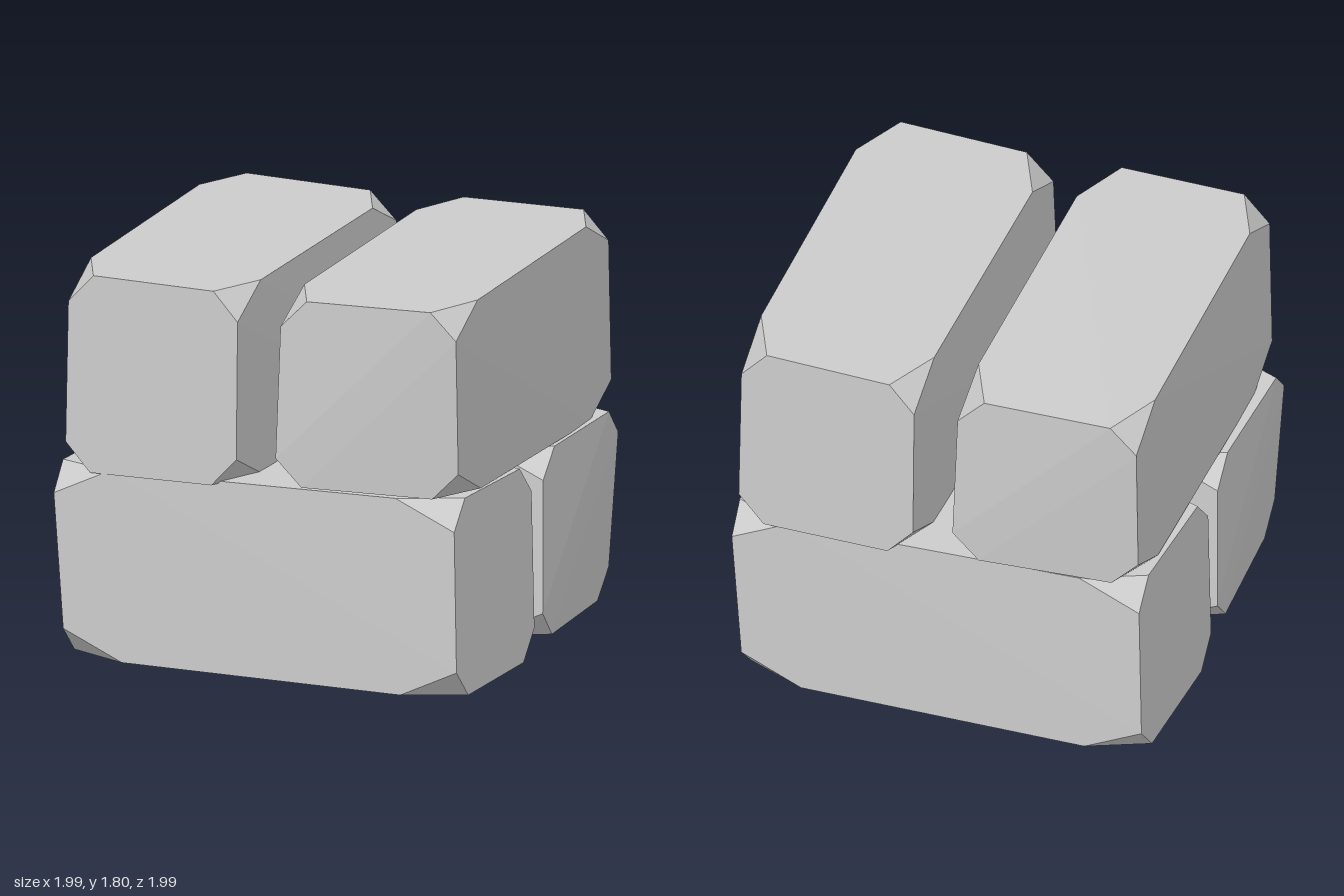
import * as THREE from 'three';
import { ConvexGeometry } from 'three/addons/geometries/ConvexGeometry.js';

// Uneven block: eight corners, index bits are x (1), y (2), z (4)
const CORNERS = [
  [-0.96, 0.03, 0.11], [1.0, 0.01, 0.08], [-0.95, 0.89, 0.14], [0.98, 0.9, 0.08],
  [-0.9, 0.03, 0.98], [0.98, 0.0, 0.92], [-0.96, 0.91, 0.99], [0.96, 0.91, 0.91],
].map((p) => new THREE.Vector3(...p));
const CUT = 0.145; // share of each edge removed where a corner is chipped off

function chippedBlock() {
  const points = [];
  CORNERS.forEach((corner, i) => {
    for (const bit of [1, 2, 4]) points.push(corner.clone().lerp(CORNERS[i ^ bit], CUT));
  });
  return new ConvexGeometry(points);
}

export function createModel() {
  const group = new THREE.Group();
  group.name = 'stackedBlocks';
  const geometry = chippedBlock();
  const material = new THREE.MeshStandardMaterial({ color: 0xcccccc, flatShading: true });

  // Two blocks side by side, two more laid crosswise on top
  const blocks = [
    ['lowerFrontBlock', 0, [0, 0, 0]],
    ['lowerBackBlock', 2, [0, 0, 0.01]],
    ['upperLeftBlock', 1, [0, 0.89, 0]],
    ['upperRightBlock', 3, [0.02, 0.89, 0]],
  ];
  for (const [name, quarterTurns, position] of blocks) {
    const block = new THREE.Mesh(geometry, material);
    block.name = name;
    block.rotation.y = quarterTurns * Math.PI / 2;
    block.position.set(...position);
    group.add(block);
  }
  return group;
}
